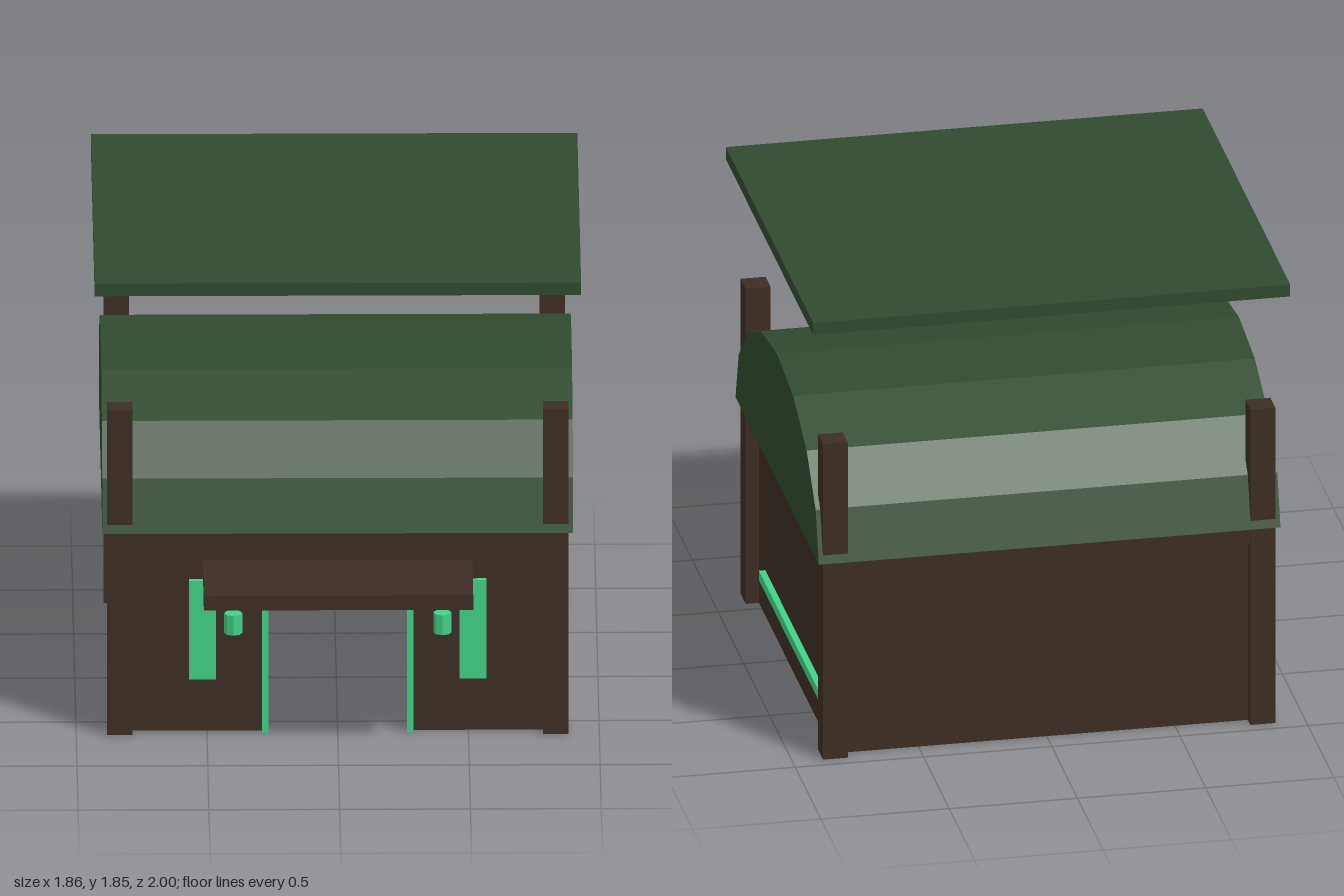
import * as THREE from 'three';

const mat = (name, color) => {
  const m = new THREE.MeshStandardMaterial({ color, flatShading: true });
  m.name = name;
  return m;
};

export function createModel() {
  const wood = mat('dark wood', 0x3d2d24);
  const roofGreen = mat('roof green', 0x2f4a2f);
  const glow = mat('bright green', 0x42d186);
  const model = new THREE.Group();
  model.name = 'house';
  const ZC = -0.15; // centre of the building in depth

  const add = (name, geometry, material) => {
    const mesh = new THREE.Mesh(geometry, material);
    mesh.name = name;
    model.add(mesh);
    return mesh;
  };
  // Box given by its lower and upper limits on each axis
  const box = (name, material, x0, x1, y0, y1, z0, z1) =>
    add(name, new THREE.BoxGeometry(x1 - x0, y1 - y0, z1 - z0), material)
      .position.set((x0 + x1) / 2, (y0 + y1) / 2, (z0 + z1) / 2);

  // Front wall with its doorway cut out
  const front = new THREE.Shape([
    [-0.83, 0], [-0.27, 0], [-0.27, 0.56], [0.27, 0.56], [0.27, 0],
    [0.83, 0], [0.83, 0.75], [-0.83, 0.75],
  ].map(([x, y]) => new THREE.Vector2(x, y)));
  add('frontWall', new THREE.ExtrudeGeometry(front, { depth: 0.08, bevelEnabled: false }), wood)
    .position.z = 0.52;
  box('backWall', wood, -0.83, 0.83, 0, 0.75, -0.9, -0.82);

  // Ceiling slab under the roof
  box('ceilingSlab', wood, -0.87, 0.87, 0.75, 0.82, ZC - 0.79, ZC + 0.79);

  // Barrel roof: half of a sixteen-sided drum, flattened in height
  const arch = new THREE.Shape();
  for (let i = 0; i <= 8; i++) {
    const a = (i / 8) * Math.PI;
    const p = [0.81 * Math.cos(a), 0.53 * Math.sin(a)];
    if (i === 0) arch.moveTo(...p);
    else arch.lineTo(...p);
  }
  const vault = new THREE.ExtrudeGeometry(arch, { depth: 1.8, bevelEnabled: false });
  vault.translate(0, 0, -0.9).rotateY(Math.PI / 2);
  add('barrelRoof', vault, roofGreen).position.set(0, 0.82, ZC);

  // Floating flat roof and entrance canopy
  box('upperRoof', roofGreen, -0.93, 0.93, 1.8, 1.85, -1, 0.7);
  box('canopy', wood, -0.515, 0.515, 0.63, 0.69, 0.58, 1);

  // Door frame lintel
  box('doorLintel', glow, -0.29, 0.29, 0.557, 0.585, 0.59, 0.63);

  // Mirrored parts
  for (const s of [-1, 1]) {
    const side = s > 0 ? 'left' : 'right';
    const pair = (name, material, a, b, ...rest) =>
      box(side + name, material, Math.min(s * a, s * b), Math.max(s * a, s * b), ...rest);

    pair('Wall', wood, 0.75, 0.83, 0, 0.75, -0.82, 0.52);
    pair('FrontPost', wood, 0.785, 0.882, 0, 1.317, 0.552, 0.65);
    pair('BackPost', wood, 0.785, 0.882, 0, 1.317, -0.95, -0.852);
    pair('DoorJamb', glow, 0.265, 0.29, 0, 0.557, 0.59, 0.63);
    pair('Window', glow, 0.465, 0.568, 0.215, 0.615, 0.59, 0.62);
    pair('SideStrip', glow, 0.82, 0.855, 0.15, 0.19, ZC - 0.58, ZC + 0.58);

    // Wall lantern
    add(side + 'Lantern', new THREE.CylinderGeometry(0.035, 0.035, 0.08, 8), glow)
      .position.set(s * 0.4, 0.46, 0.665);
  }
  return model;
}
